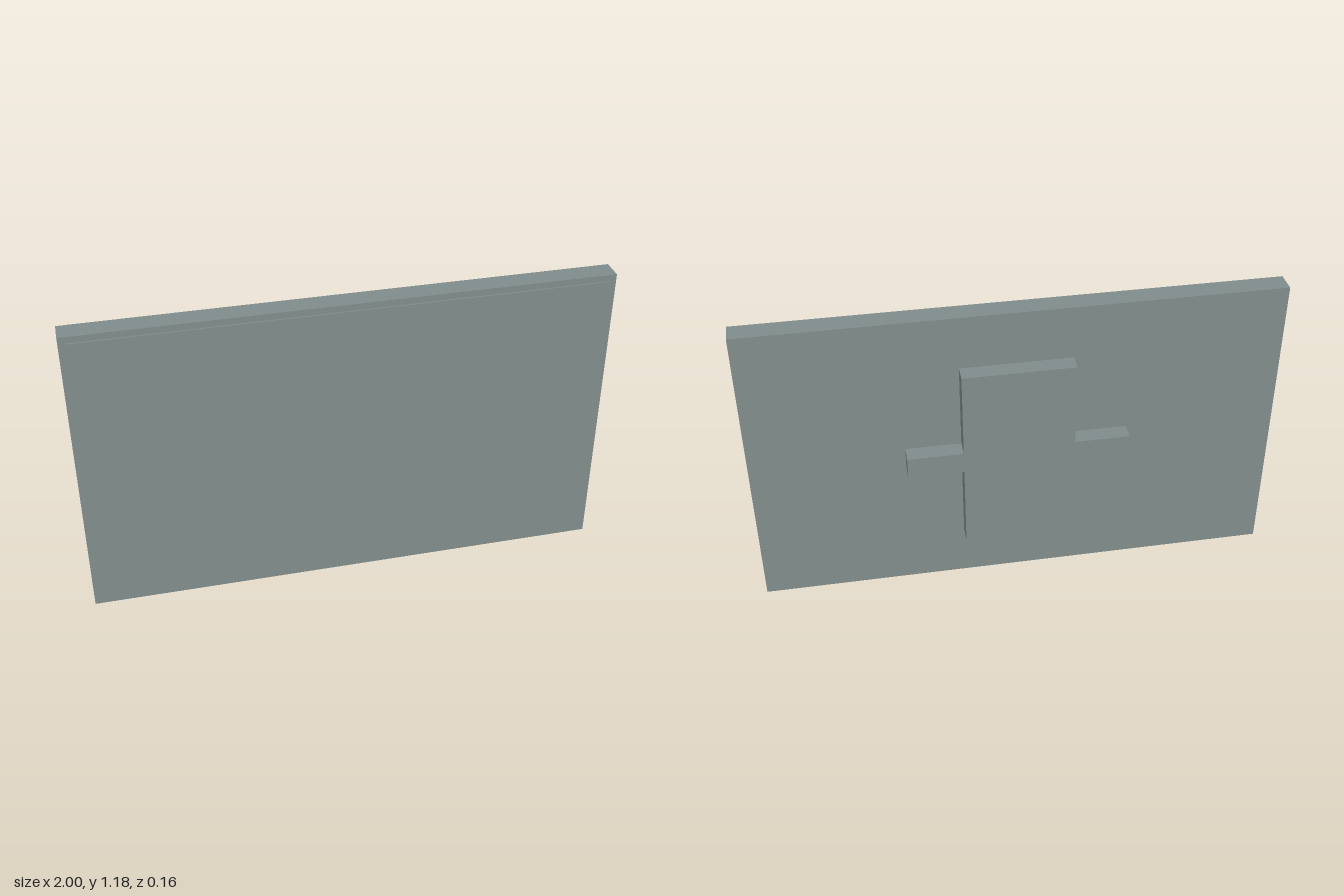
import * as THREE from 'three';

export function createModel() {
  const model = new THREE.Group();
  const greyGreen = new THREE.MeshStandardMaterial({ color: 0x7f8c8b });
  greyGreen.name = 'greyGreen';

  // Box given by its limits on each axis, centred on x = 0
  function slab(name, width, y0, y1, z0, z1) {
    const mesh = new THREE.Mesh(new THREE.BoxGeometry(width, y1 - y0, z1 - z0), greyGreen);
    mesh.name = name;
    mesh.position.set(0, (y0 + y1) / 2, (z0 + z1) / 2);
    model.add(mesh);
  }

  // Flat panel body with a slightly raised front face
  slab('panelBody', 2, 0, 1.18, -0.011, 0.072);
  slab('frontFace', 1.95, 0.025, 1.155, 0.072, 0.078);

  // Rear mount: upright plate with an arm on each side
  slab('mountPlate', 0.42, 0.21, 0.97, -0.077, -0.011);
  for (const side of [-1, 1]) {
    const arm = new THREE.Mesh(new THREE.BoxGeometry(0.21, 0.085, 0.066), greyGreen);
    arm.name = side > 0 ? 'leftMountArm' : 'rightMountArm';
    arm.position.set(side * 0.315, 0.592, -0.044);
    model.add(arm);
  }

  return model;
}
